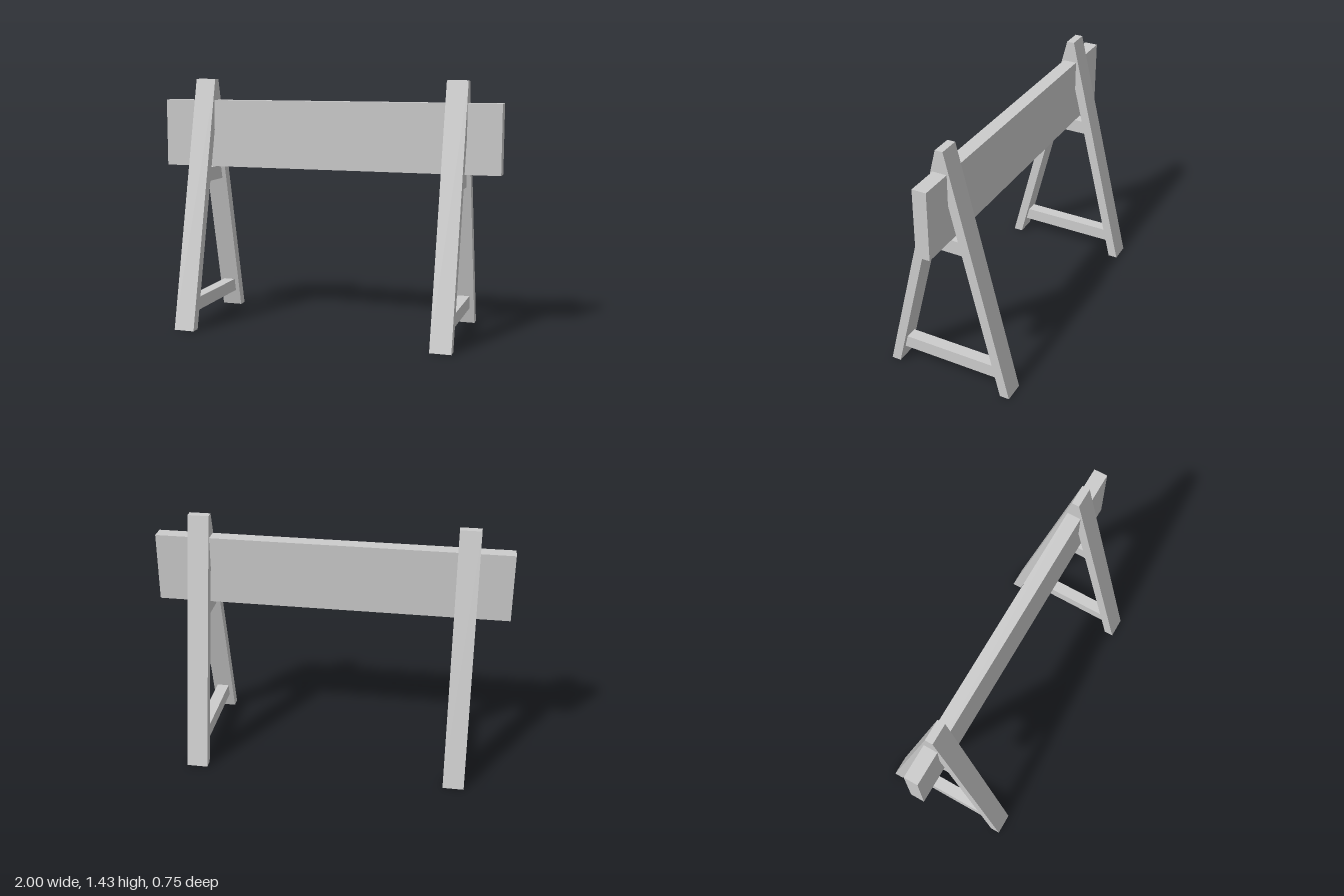
import * as THREE from 'three';

const material = new THREE.MeshStandardMaterial({ color: 0xcccccc, flatShading: true });

// Inner edge of a leg: z distance from the centre at height y
const innerZ = (y) => 0.32 - 0.246 * y;

// Extrudes a (z, y) outline along x, centred on x = 0
function extrudeAlongX(points, width, name) {
  const shape = new THREE.Shape(points.map(([z, y]) => new THREE.Vector2(z, y)));
  const geometry = new THREE.ExtrudeGeometry(shape, { depth: width, bevelEnabled: false });
  geometry.translate(0, 0, -width / 2);
  geometry.rotateY(-Math.PI / 2);
  const mesh = new THREE.Mesh(geometry, material);
  mesh.name = name;
  return mesh;
}

// Crossbar fitted between the two slanted legs
function crossbar(y0, y1, name) {
  const a = innerZ(y0), b = innerZ(y1);
  return extrudeAlongX([[-a, y0], [a, y0], [b, y1], [-b, y1]], 0.07, name);
}

function trestle(x, name) {
  const group = new THREE.Group();
  group.name = name;

  // Pair of legs meeting in a blunt peak
  group.add(extrudeAlongX([
    [-0.375, 0], [-0.32, 0], [0, 1.3], [0.32, 0], [0.375, 0],
    [0.022, 1.435], [-0.022, 1.435],
  ], 0.12, 'legs'));

  group.add(crossbar(0.095, 0.17, 'lowerCrossbar'));
  group.add(crossbar(0.835, 0.915, 'upperCrossbar'));
  group.position.x = x;
  return group;
}

export function createModel() {
  const model = new THREE.Group();
  model.name = 'barrier';

  // Long plank held on edge between the legs
  const plank = new THREE.Mesh(new THREE.BoxGeometry(2, 0.39, 0.08), material);
  plank.name = 'plank';
  plank.position.y = 1.117;
  model.add(plank);

  model.add(trestle(0.75, 'leftTrestle'), trestle(-0.75, 'rightTrestle'));
  return model;
}
